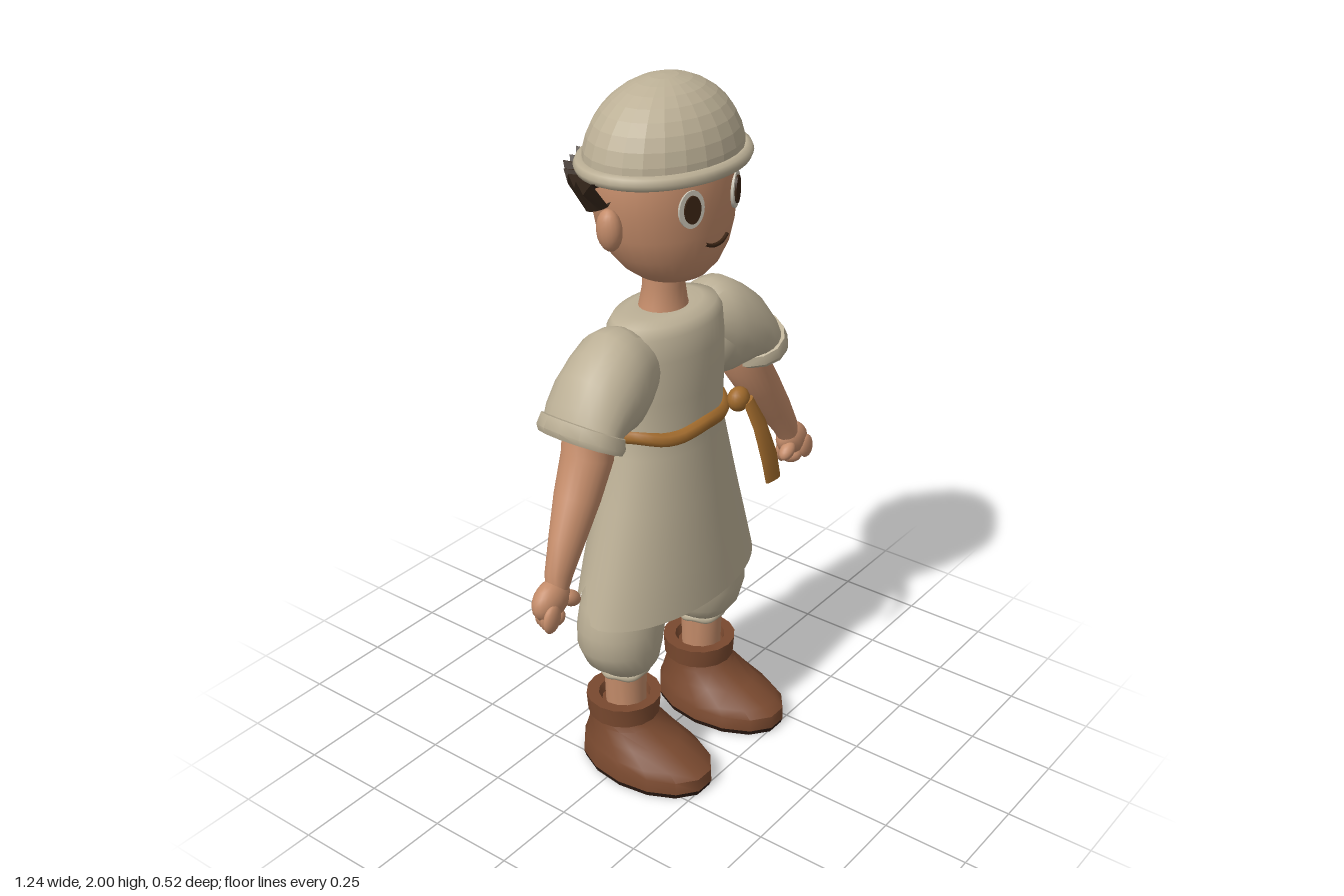
import * as THREE from 'three';
import { toCreasedNormals } from 'three/addons/utils/BufferGeometryUtils.js';

const mat = (name, color, extra = {}) => Object.assign(new THREE.MeshStandardMaterial({ color, ...extra }), { name });

// Skin over elliptical rings. Each ring: [x0, y0, x1, y1, zCentre, zRadius],
// where (x0,y0)-(x1,y1) is its diameter in the xy plane.
function loft(rings, { n = 24, capStart = true, capEnd = true, crease = 0.7, warp } = {}) {
  const pos = [], idx = [];
  const push = (i, k) => {
    const [x0, y0, x1, y1, z, b] = rings[i];
    const t = (k / n) * Math.PI * 2, c = Math.cos(t) / 2;
    const p = new THREE.Vector3((x0 + x1) / 2 + (x1 - x0) * c, (y0 + y1) / 2 + (y1 - y0) * c, z + b * Math.sin(t));
    if (warp) warp(p, i);
    pos.push(p.x, p.y, p.z);
  };
  rings.forEach((_, i) => { for (let k = 0; k < n; k++) push(i, k); });
  for (let i = 0; i < rings.length - 1; i++) {
    for (let k = 0; k < n; k++) {
      const a = i * n + k, b = i * n + (k + 1) % n;
      idx.push(a, a + n, b, b, a + n, b + n);
    }
  }
  const cap = (i, top) => {
    const [x0, y0, x1, y1, z] = rings[i], centre = pos.length / 3;
    pos.push((x0 + x1) / 2, (y0 + y1) / 2, z);
    for (let k = 0; k < n; k++) {
      const a = i * n + k, b = i * n + (k + 1) % n;
      idx.push(centre, top ? b : a, top ? a : b);
    }
  };
  if (capStart) cap(0, false);
  if (capEnd) cap(rings.length - 1, true);
  const g = new THREE.BufferGeometry();
  g.setAttribute('position', new THREE.Float32BufferAttribute(pos, 3));
  g.setIndex(idx);
  return toCreasedNormals(g, crease);
}
// Level ring, from centre x, height, half width, back z and front z
const level = (x, y, a, zBack, zFront) => [x - a, y, x + a, y, (zBack + zFront) / 2, (zFront - zBack) / 2];

// Closed elliptical hoop
function hoop(a, b, y, z, r, wobble = 0) {
  const pts = [];
  for (let i = 0; i < 24; i++) {
    const t = (i / 24) * Math.PI * 2;
    pts.push(new THREE.Vector3(a * Math.cos(t), y + wobble * Math.sin(t * 5), z + b * Math.sin(t)));
  }
  return new THREE.TubeGeometry(new THREE.CatmullRomCurve3(pts, true), 48, r, 8, true);
}
const blob = (x, y, z, a, b, c, rz = 0) =>
  new THREE.SphereGeometry(1, 16, 10).scale(a, b, c).rotateZ(rz).translate(x, y, z);

export function createModel() {
  const D = { side: THREE.DoubleSide };
  const skin = mat('skin', 0xc48c6a), linen = mat('linen', 0xbcb096, D), leather = mat('boot leather', 0x79492f),
    sole = mat('dark sole', 0x2c1a12), hair = mat('dark brown hair', 0x35261a, D), rope = mat('tan belt', 0xa06a2c),
    white = mat('eye white', 0xc9c3b4), dark = mat('eye brown', 0x3a2414);
  const model = new THREE.Group();
  const add = (parent, name, geo, material) => {
    const m = new THREE.Mesh(geo, material);
    m.name = name;
    parent.add(m);
    return m;
  };

  // Head and neck
  add(model, 'head', loft([
    level(0, 1.475, 0.055, -0.07, 0.07), level(0, 1.485, 0.1, -0.09, 0.095), level(0, 1.515, 0.142, -0.12, 0.12),
    level(0, 1.56, 0.178, -0.155, 0.138), level(0, 1.62, 0.203, -0.183, 0.148), level(0, 1.69, 0.215, -0.195, 0.151),
    level(0, 1.77, 0.22, -0.2, 0.152), level(0, 1.85, 0.19, -0.17, 0.13),
  ], { n: 32, crease: 1 }), skin);
  add(model, 'neck', loft([
    level(0, 1.34, 0.085, -0.1, 0.05), level(0, 1.39, 0.07, -0.088, 0.035),
    level(0, 1.44, 0.06, -0.08, 0.03), level(0, 1.52, 0.062, -0.08, 0.03),
  ]), skin);

  // Smile
  const smile = new THREE.CatmullRomCurve3([[-0.047, 1.6, 0.143], [-0.025, 1.59, 0.146], [0, 1.587, 0.147],
    [0.025, 1.59, 0.146], [0.047, 1.6, 0.143]].map(p => new THREE.Vector3(...p)));
  add(model, 'mouth', new THREE.TubeGeometry(smile, 16, 0.0055, 6), dark);

  // Cap with rolled rim
  const dome = new THREE.SphereGeometry(1, 24, 9, 0, Math.PI * 2, 0, Math.PI / 2).scale(0.243, 0.21, 0.188);
  add(model, 'capDome', toCreasedNormals(dome.translate(0, 1.79, -0.022), 0.05), linen);
  add(model, 'capRim', hoop(0.246, 0.187, 1.79, -0.022, 0.02), linen);

  // Ragged band of hair round the back of the head
  const pos = [], idx = [], steps = 36;
  for (let i = 0; i <= steps; i++) {
    const t = Math.PI * (i / steps), c = Math.cos(t), s = Math.sin(t);
    const jag = [0, 0.02, -0.012, 0.012, -0.02][i % 5];
    const low = 1.715 - 0.075 * Math.pow(s, 0.8);
    pos.push(0.212 * c, low + 0.02, -0.02 - 0.165 * s,
      0.224 * c, low, -0.025 - 0.183 * s,
      (0.272 + jag * 0.2) * c, 1.765 + jag, -0.035 - (0.222 + jag * 0.3) * s,
      0.215 * c, 1.765, -0.02 - 0.17 * s);
    if (i < steps) for (let j = 0; j < 3; j++) {
      const a = i * 4 + j;
      idx.push(a, a + 1, a + 4, a + 1, a + 5, a + 4);
    }
  }
  const band = new THREE.BufferGeometry();
  band.setAttribute('position', new THREE.Float32BufferAttribute(pos, 3));
  band.setIndex(idx);
  add(model, 'hair', toCreasedNormals(band, 0.5), hair);

  // Tunic with a notch cut in the hem at each side
  add(model, 'tunic', loft([
    level(0, 0.53, 0.343, -0.2, 0.165), level(0, 0.66, 0.305, -0.192, 0.153), level(0, 0.85, 0.248, -0.174, 0.133),
    level(0, 1.0, 0.205, -0.158, 0.117), level(0, 1.06, 0.194, -0.152, 0.112), level(0, 1.16, 0.197, -0.158, 0.116),
    level(0, 1.28, 0.198, -0.155, 0.114), level(0, 1.345, 0.195, -0.146, 0.105), level(0, 1.372, 0.178, -0.132, 0.09),
    level(0, 1.382, 0.13, -0.105, 0.06), level(0, 1.38, 0.068, -0.08, 0.03),
  ], {
    n: 48, capStart: false, capEnd: false, crease: 1, warp: (p, i) => {
      if (i || Math.abs(p.x) < 0.2) return;
      const lift = Math.max(0, 0.1 * (1 - Math.abs(p.z + 0.065) / 0.05));
      p.y += lift;
      p.x *= 1 - lift * 0.8;
    },
  }), linen);
  add(model, 'hips', loft([level(0, 0.58, 0.12, -0.1, 0.06), level(0, 0.68, 0.2, -0.14, 0.09),
    level(0, 0.9, 0.19, -0.13, 0.09)]), linen);

  // Belt, knot and hanging tail
  add(model, 'belt', hoop(0.188, 0.134, 1.06, -0.02, 0.021, 0.006), rope);
  add(model, 'beltKnot', blob(0.165, 1.068, 0.108, 0.036, 0.036, 0.03, 0.3), rope);
  add(model, 'beltTail', loft([
    [0.195, 0.812, 0.267, 0.808, 0.187, 0.007], [0.185, 0.88, 0.258, 0.885, 0.178, 0.009],
    [0.172, 0.98, 0.227, 0.995, 0.158, 0.01], [0.158, 1.06, 0.195, 1.075, 0.132, 0.01],
  ], { n: 10 }), rope);

  // Everything that comes in pairs, built on the +x side and mirrored
  for (const side of [1, -1]) {
    const half = new THREE.Group();
    half.name = side > 0 ? 'leftSide' : 'rightSide';
    half.scale.x = side;
    model.add(half);

    // Eye and ear
    const disc = (r, h, out) => new THREE.CylinderGeometry(1, 1, 0.008, 24).rotateX(Math.PI / 2)
      .scale(r, h, 1).rotateY(0.37).translate(0.094 + out * 0.36, 1.705, 0.133 + out * 0.93);
    add(half, 'eyeWhite', disc(0.037, 0.05, 0.001), white);
    add(half, 'pupil', disc(0.024, 0.037, 0.006), dark);
    add(half, 'ear', blob(0.228, 1.655, -0.02, 0.031, 0.057, 0.035, -0.1), skin);

    // Sleeve and turned-up cuff
    add(half, 'sleeve', loft([
      [0.3, 1.115, 0.432, 1.19, -0.01, 0.117], [0.285, 1.12, 0.412, 1.235, -0.012, 0.12],
      [0.25, 1.108, 0.365, 1.302, -0.015, 0.122], [0.225, 1.1, 0.31, 1.345, -0.018, 0.122],
      [0.2, 1.1, 0.25, 1.38, -0.02, 0.118], [0.17, 1.12, 0.2, 1.382, -0.02, 0.108], [0.13, 1.16, 0.14, 1.36, -0.02, 0.09],
    ], { capStart: false, crease: 1.2 }), linen);
    add(half, 'cuff', loft([
      [0.315, 1.105, 0.425, 1.165, -0.01, 0.1], [0.297, 1.086, 0.45, 1.162, -0.01, 0.128],
      [0.284, 1.094, 0.455, 1.182, -0.01, 0.133], [0.282, 1.12, 0.438, 1.212, -0.01, 0.127],
      [0.295, 1.13, 0.42, 1.205, -0.01, 0.113],
    ], { n: 14, capStart: false, capEnd: false, crease: 0.8 }), linen);

    // Arm and fist
    add(half, 'arm', loft([
      [0.505, 0.765, 0.565, 0.795, 0.035, 0.03], [0.478, 0.805, 0.56, 0.832, 0.032, 0.034],
      [0.425, 0.87, 0.522, 0.915, 0.022, 0.046], [0.35, 0.965, 0.472, 1.01, 0.008, 0.061],
      [0.285, 1.06, 0.42, 1.1, -0.004, 0.07], [0.27, 1.14, 0.4, 1.2, -0.01, 0.07],
    ], { crease: 1 }), skin);
    const hand = new THREE.Group();
    hand.name = 'hand';
    half.add(hand);
    add(hand, 'palm', blob(0.557, 0.758, 0.034, 0.064, 0.052, 0.04, -0.4), skin);
    for (let i = 0; i < 4; i++) {
      add(hand, 'finger', blob(0.59 - i * 0.012, 0.726 - i * 0.006, 0.065 - i * 0.02, 0.03, 0.04, 0.016, 0.25), skin);
    }
    add(hand, 'fingertips', blob(0.555, 0.705, 0.035, 0.035, 0.026, 0.034), skin);
    add(hand, 'thumb', blob(0.503, 0.742, 0.055, 0.034, 0.022, 0.022, 0.6), skin);

    // Baggy trouser leg with gathered hem
    add(half, 'trouserLeg', loft([
      [0.12, 0.315, 0.248, 0.315, -0.025, 0.064], [0.104, 0.335, 0.268, 0.335, -0.025, 0.085],
      [0.088, 0.362, 0.302, 0.362, -0.027, 0.105], [0.073, 0.42, 0.328, 0.42, -0.028, 0.117],
      [0.058, 0.48, 0.33, 0.48, -0.028, 0.119], [0.04, 0.55, 0.318, 0.55, -0.028, 0.115],
      [0.015, 0.7, 0.25, 0.7, -0.028, 0.1],
    ], { crease: 1 }), linen);
    add(half, 'trouserHem', hoop(0.064, 0.06, 0.315, 0, 0.012, 0.004).translate(0.184, 0, -0.025), linen);
    add(half, 'shin', loft([level(0.183, 0.18, 0.058, -0.082, 0.033), level(0.183, 0.33, 0.063, -0.087, 0.037)]), skin);

    // Boot
    add(half, 'bootSole', loft([level(0.183, 0, 0.13, -0.16, 0.26), level(0.183, 0.016, 0.135, -0.165, 0.265)],
      { n: 14 }), sole);
    add(half, 'boot', loft([
      level(0.183, 0.016, 0.135, -0.165, 0.266), level(0.183, 0.055, 0.133, -0.163, 0.264),
      level(0.183, 0.075, 0.125, -0.155, 0.235), level(0.183, 0.11, 0.108, -0.145, 0.155),
      level(0.183, 0.145, 0.096, -0.136, 0.08), level(0.183, 0.175, 0.092, -0.132, 0.062),
    ], { n: 14, crease: 0.8 }), leather);
    add(half, 'bootCuff', loft([
      level(0.183, 0.163, 0.09, -0.125, 0.058), level(0.183, 0.166, 0.104, -0.137, 0.072),
      level(0.183, 0.224, 0.108, -0.142, 0.076), level(0.183, 0.224, 0.075, -0.105, 0.045),
      level(0.183, 0.2, 0.068, -0.095, 0.04),
    ], { n: 16 }), leather);
  }
  return model;
}
